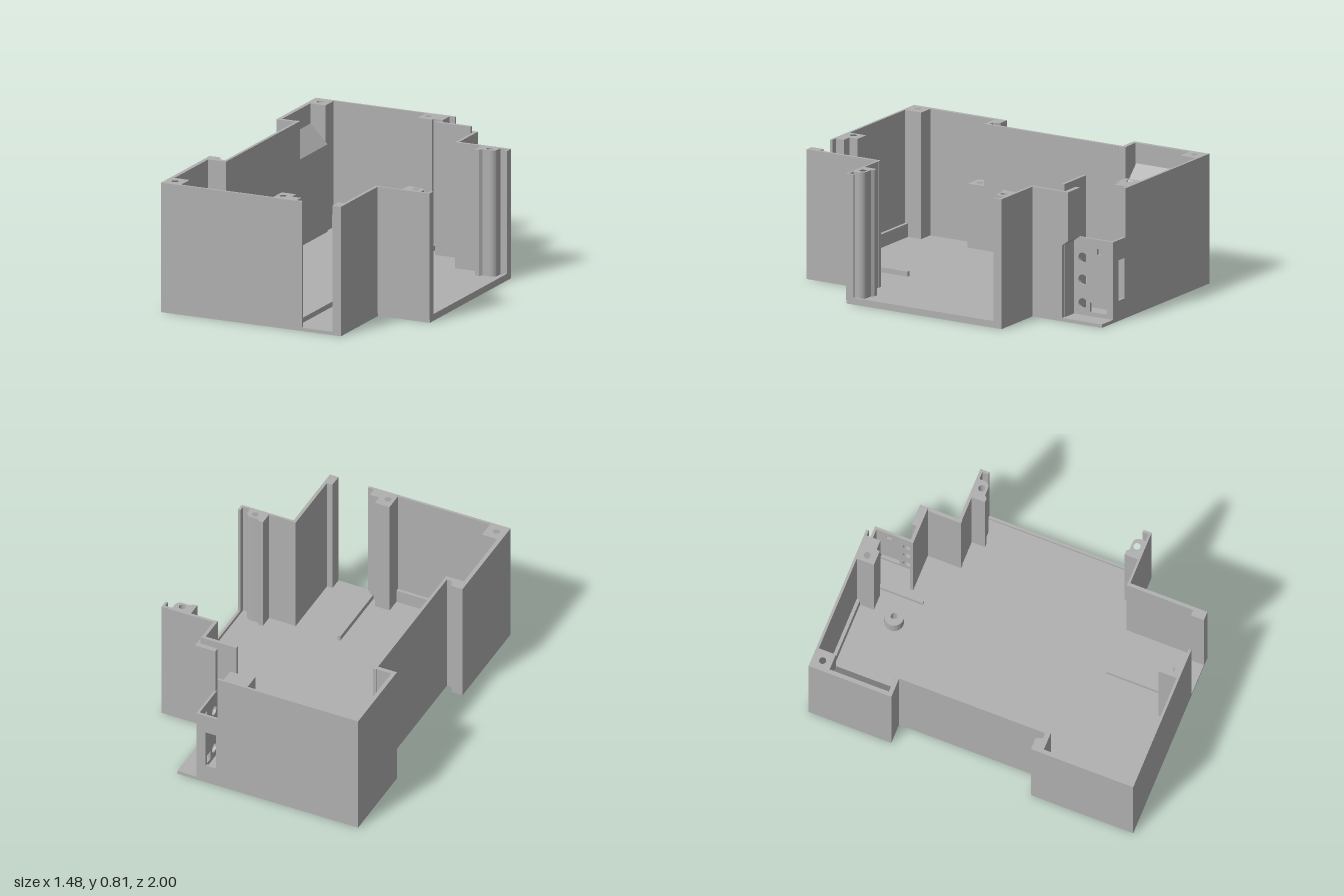
import * as THREE from 'three';

const H = 0.77; // rim height
const F = 0.02; // floor thickness

export function createModel() {
  const group = new THREE.Group();
  const grey = new THREE.MeshStandardMaterial({ color: 0xb0b0b0 });
  grey.name = 'grey plastic';

  const add = (name, geo) => {
    const m = new THREE.Mesh(geo, grey);
    m.name = name;
    group.add(m);
    return m;
  };
  const box = (name, x0, x1, y0, y1, z0, z1) => {
    const g = new THREE.BoxGeometry(x1 - x0, y1 - y0, z1 - z0);
    g.translate((x0 + x1) / 2, (y0 + y1) / 2, (z0 + z1) / 2);
    return add(name, g);
  };
  const wall = (x0, x1, z0, z1, name = 'wall', top = H) => box(name, x0, x1, F, top, z0, z1);

  const outline = (pts) => new THREE.Shape(pts.map(([a, b]) => new THREE.Vector2(a, b)));
  const roundHole = (s, x, y, r) => s.holes.push(new THREE.Path().absarc(x, y, r, 0, Math.PI * 2, true));
  const rectHole = (s, x0, x1, y0, y1) => s.holes.push(new THREE.Path([
    [x0, y0], [x0, y1], [x1, y1], [x1, y0]].map(([a, b]) => new THREE.Vector2(a, b))));
  const extrude = (s, depth) => new THREE.ExtrudeGeometry(s, { depth, bevelEnabled: false, curveSegments: 16 });
  // plan shape given as x, z and raised from y0 to y1
  const prism = (name, pts, y0, y1, hole) => {
    const s = outline(pts.map(([x, z]) => [x, -z]));
    if (hole) roundHole(s, hole[0], -hole[1], hole[2]);
    return add(name, extrude(s, y1 - y0).rotateX(-Math.PI / 2).translate(0, y0, 0));
  };
  const rect = (x0, x1, z0, z1) => [[x0, z0], [x1, z0], [x1, z1], [x0, z1]];
  const post = (x0, x1, z0, z1, hx, hz, top = H) =>
    prism('screwPost', rect(x0, x1, z0, z1), F, top, [hx, hz, 0.02]);

  // floor plate
  prism('floor', [
    [-0.74, -1], [0.41, -1], [0.41, -0.53], [0.74, -0.53], [0.74, 0.52], [0.41, 0.52],
    [0.41, 1], [-0.74, 1], [-0.74, 0.37], [-0.67, 0.37], [-0.65, 0.41], [-0.62, 0.41],
    [-0.62, -0.49], [-0.74, -0.49],
  ], 0, F);

  // long side wall and the two bumps beside it
  wall(-0.62, -0.602, -0.52, 0.44, 'sideWall');
  wall(-0.74, -0.715, -1, -0.49, 'rearBumpWall');
  wall(-0.74, -0.602, -0.515, -0.49, 'rearBumpReturn');
  wall(-0.74, -0.715, 0.37, 1, 'frontBumpWall');
  prism('frontBumpReturn', [[-0.74, 0.37], [-0.67, 0.37], [-0.65, 0.41], [-0.602, 0.41],
    [-0.602, 0.44], [-0.74, 0.44]], F, H);

  // sloped filling of the rear bump
  add('slopedPocket', extrude(outline([[-0.715, F], [-0.605, F], [-0.605, 0.54], [-0.715, 0.65]]), 0.36)
    .translate(0, 0, -0.88));

  // front wall beside its opening, and the narrow pillar
  wall(-0.74, 0.16, 0.985, 1, 'frontWall');
  wall(0.355, 0.41, 0.92, 1, 'frontPillar');
  wall(0.39, 0.41, 0.51, 1, 'frontSideWall');

  // rear wall with a low step and a slot at one end
  const rear = outline([[-0.74, F], [0.28, F], [0.28, 0.48], [0.155, 0.48], [0.155, H], [-0.74, H]]);
  rectHole(rear, 0.165, 0.23, 0.12, 0.36);
  add('rearWall', extrude(rear, 0.015).translate(0, 0, -1));

  // screw posts, blocks, low ledges and ribs at both ends
  for (const s of [-1, 1]) {
    const a = s < 0 ? -0.99 : 0.875, b = s < 0 ? -0.88 : 0.99;
    post(-0.72, -0.618, a, b, -0.68, s * 0.937);
    post(-0.03, 0.062, a, b, 0.01, s * 0.937);
    const c = s < 0 ? -0.99 : 0.93, d = s < 0 ? -0.9 : 0.99;
    wall(0.06, 0.122, c, d, 'postBlock');
    wall(-0.62, -0.03, Math.min(s * 0.965, s * 0.99), Math.max(s * 0.965, s * 0.99), 'endLedge', 0.1);
    wall(0.1, 0.12, s < 0 ? -0.9 : 0.5, s < 0 ? -0.63 : 0.93, 'floorRib', 0.05);

    // wide side section: return wall, jamb and profiled post
    const zo = s < 0 ? -0.53 : 0.525, zi = s * 0.512;
    wall(0.39, 0.74, Math.min(zo, zi), Math.max(zo, zi), 'returnWall');
    wall(0.725, 0.74, Math.min(zo, s * 0.475), Math.max(zo, s * 0.475), 'openingJamb');
    const pts = [[0.56, 0.515], [0.56, 0.43], [0.585, 0.43], [0.6, 0.445]];
    for (let i = 0; i <= 6; i++) {
      const t = (i / 6) * Math.PI / 2;
      pts.push([0.645 + 0.035 * Math.sin(t), 0.48 - 0.035 * Math.cos(t)]);
    }
    pts.push([0.68, 0.515]);
    prism('sideScrewPost', pts.map(([x, z]) => [x, s * z]), F, H, [0.632, s * 0.478, 0.02]);
  }
  post(-0.72, -0.602, 0.435, 0.55, -0.655, 0.5, 0.4);
  wall(0.725, 0.74, -0.475, 0.475, 'openingSill', 0.04);

  // round boss on the floor
  const ring = new THREE.Shape().absarc(-0.055, 0.745, 0.057, 0, Math.PI * 2);
  roundHole(ring, -0.055, 0.745, 0.02);
  add('floorBoss', extrude(ring, 0.09).rotateX(-Math.PI / 2).translate(0, F, 0));

  // rear side wall and the terminal recess behind it
  wall(0.39, 0.41, -0.73, -0.51, 'rearSideWall');
  box('rearSideWallUpper', 0.39, 0.41, 0.48, H, -0.77, -0.72);
  wall(0.28, 0.41, -0.73, -0.715, 'recessWall', 0.48);
  box('recessWallUpper', 0.28, 0.41, 0.48, H, -0.77, -0.74);
  // sloped underside joining the two recess walls
  add('recessSlope', extrude(outline([[0.73, 0.45], [0.77, 0.48], [0.73, 0.48]]), 0.13)
    .rotateY(Math.PI / 2).translate(0.28, 0, 0));
  wall(0.163, 0.39, -0.735, -0.715, 'tallDivider', 0.81);

  // terminal panel with three round and two square openings
  const panel = outline([[0.73, F], [1, F], [1, 0.48], [0.76, 0.48], [0.73, 0.46]]);
  for (const y of [0.09, 0.23, 0.36]) roundHole(panel, 0.795, y, 0.029);
  rectHole(panel, 0.845, 0.96, 0.045, 0.1);
  rectHole(panel, 0.893, 0.925, 0.39, 0.425);
  add('terminalPanel', extrude(panel, 0.015).rotateY(Math.PI / 2).translate(0.275, 0, 0));

  return group;
}
